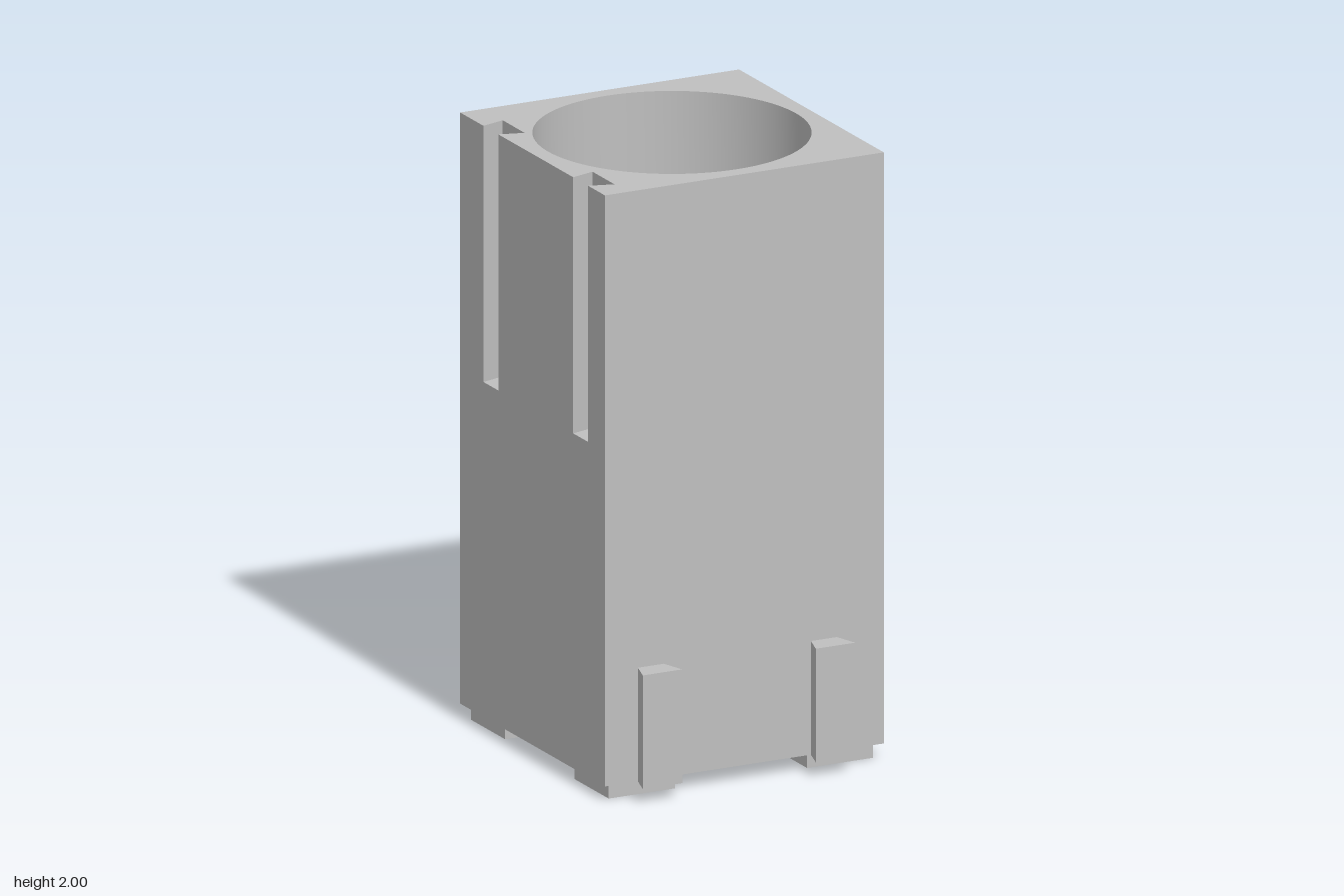
import * as THREE from 'three';
import { toCreasedNormals } from 'three/addons/utils/BufferGeometryUtils.js';

const HALF = 0.495, BACK = -0.535, FRONT = 0.455;
const BASE = 0.05, SLOT_FLOOR = 1.155, TOP = 2;

// Extrudes a plan outline given as [x, z] pairs between two heights
function prism(points, y0, y1, hole) {
  const shape = new THREE.Shape(points.map(([x, z]) => new THREE.Vector2(x, -z)));
  if (hole) {
    const path = new THREE.Path();
    path.absarc(hole.x, -hole.z, hole.r, 0, Math.PI * 2, true);
    shape.holes.push(path);
  }
  const geometry = new THREE.ExtrudeGeometry(shape, { depth: y1 - y0, bevelEnabled: false, curveSegments: 48 });
  geometry.rotateX(-Math.PI / 2);
  geometry.translate(0, y0, 0);
  return toCreasedNormals(geometry, 0.4);
}

export function createModel() {
  const group = new THREE.Group();
  const grey = new THREE.MeshStandardMaterial({ color: 0xbfbfbf });
  grey.name = 'grey';

  const add = (name, geometry) => {
    const mesh = new THREE.Mesh(geometry, grey);
    mesh.name = name;
    group.add(mesh);
  };

  const bore = { x: 0, z: -0.04, r: 0.44 };
  const rightSide = [[-HALF, FRONT], [HALF, FRONT], [HALF, BACK], [-HALF, BACK]];

  // Dovetail slots cut into the -x wall, open at the top
  const slots = [-0.325, 0.289].flatMap((z) => [
    [-HALF, z - 0.051], [-0.414, z - 0.075], [-0.414, z + 0.075], [-HALF, z + 0.051],
  ]);

  // Square body with a round bore right through it
  add('lowerBody', prism(rightSide, BASE, SLOT_FLOOR, bore));
  add('slottedUpperBody', prism([...rightSide, ...slots], SLOT_FLOOR, TOP, bore));

  // Dovetail keys on the front wall
  for (const x of [-0.332, 0.282]) {
    add('dovetailKey', prism([
      [x - 0.046, FRONT], [x - 0.07, 0.535], [x + 0.07, 0.535], [x + 0.046, FRONT],
    ], BASE, 0.425));
  }

  // Square feet at the four corners
  for (const x of [-0.352, 0.352]) {
    for (const z of [-0.394, 0.314]) {
      const foot = new THREE.BoxGeometry(0.235, BASE, 0.235);
      foot.translate(x, BASE / 2, z);
      add('foot', foot);
    }
  }
  return group;
}
